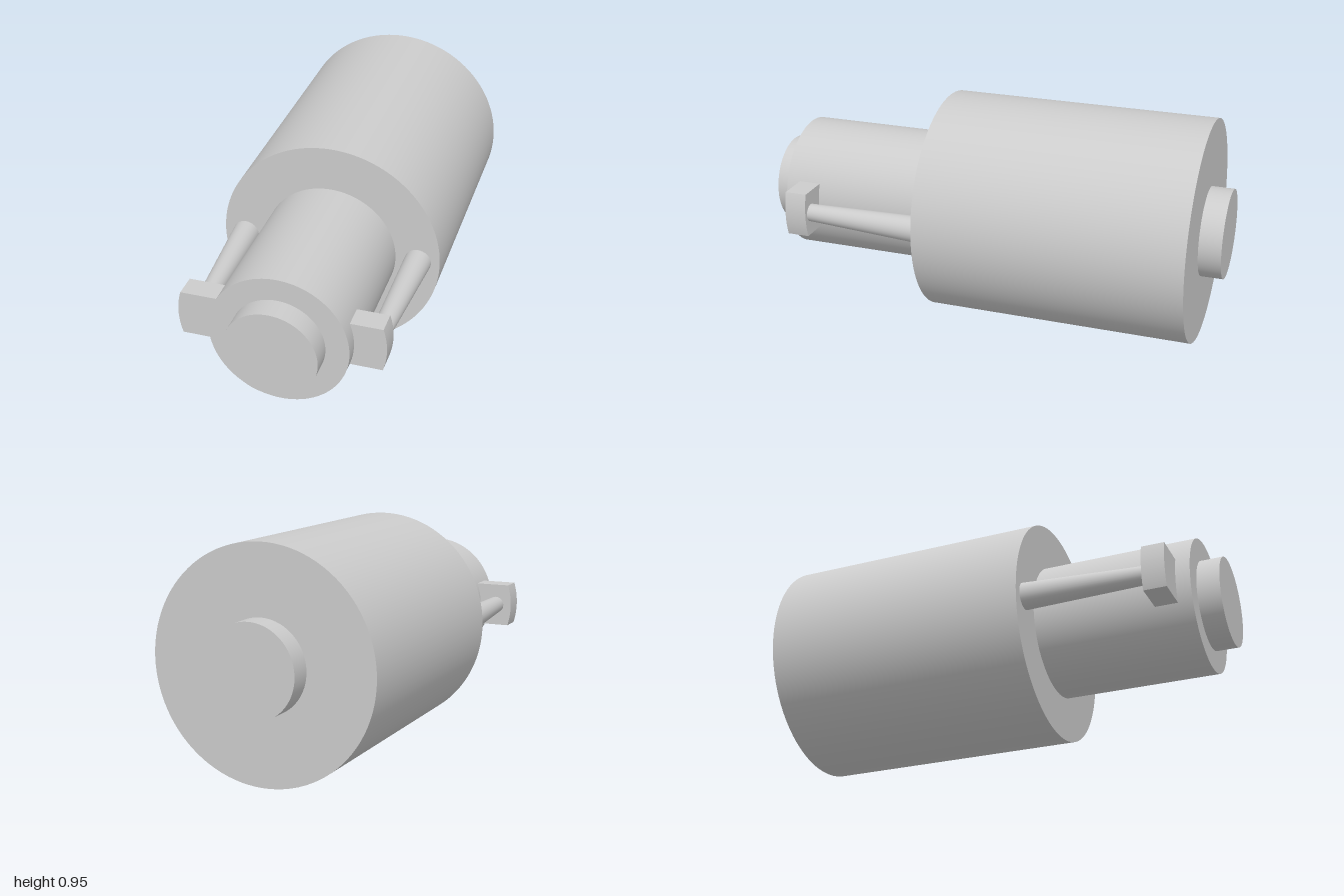
import * as THREE from 'three';

const material = new THREE.MeshStandardMaterial({ color: 0xcccccc });
const BODY_FRONT = 0.237, LUG_BACK = 0.75, LUG_DEPTH = 0.095;

function add(parent, name, geometry) {
  const mesh = new THREE.Mesh(geometry, material);
  mesh.name = name;
  parent.add(mesh);
  return mesh;
}

// Solid cylinder along z between two depths
function drum(parent, name, radius, z0, z1) {
  const g = new THREE.CylinderGeometry(radius, radius, z1 - z0, 96);
  g.rotateX(Math.PI / 2).translate(0, 0, (z0 + z1) / 2);
  return add(parent, name, g);
}

// Lug block with a rounded outer edge, rooted inside the neck
function lugGeometry(outer) {
  const r = 0.325, half = 0.097, a = Math.asin(half / r);
  const s = new THREE.Shape();
  s.moveTo(0.24, half);
  s.lineTo(0.24, -half);
  s.absarc(outer - r, 0, r, -a, a, false);
  s.closePath();
  return new THREE.ExtrudeGeometry(s, { depth: LUG_DEPTH, bevelEnabled: false, curveSegments: 16 })
    .translate(0, 0, LUG_BACK);
}

// Tapered rod whose inner side stays parallel to the axis
function rodGeometry() {
  const rBase = 0.057, rTip = 0.038, inner = 0.324;
  const length = LUG_BACK - BODY_FRONT;
  const g = new THREE.CylinderGeometry(rTip, rBase, length, 32);
  g.rotateX(Math.PI / 2);
  const shear = new THREE.Matrix4().set(
    1, 0, (rTip - rBase) / length, inner + (rBase + rTip) / 2,
    0, 1, 0, 0,
    0, 0, 1, (BODY_FRONT + LUG_BACK) / 2,
    0, 0, 0, 1);
  return g.applyMatrix4(shear);
}

export function createModel() {
  const model = new THREE.Group();
  model.name = 'steppedCylinder';

  const assembly = new THREE.Group();
  assembly.name = 'assembly';
  assembly.position.y = 0.475;
  model.add(assembly);

  // Coaxial stepped drums
  drum(assembly, 'body', 0.475, -0.905, BODY_FRONT);
  drum(assembly, 'neck', 0.285, 0.1, 0.905);
  drum(assembly, 'frontShaft', 0.19, 0.8, 1);
  drum(assembly, 'rearShaft', 0.19, -1, -0.8);

  // Side arms; the right lug reaches slightly further out
  for (const [side, outer, turn] of [['left', 0.415, 0], ['right', 0.437, Math.PI]]) {
    const arm = new THREE.Group();
    arm.name = side + 'Arm';
    arm.rotation.z = turn;
    add(arm, side + 'Lug', lugGeometry(outer));
    add(arm, side + 'Rod', rodGeometry());
    assembly.add(arm);
  }
  return model;
}
